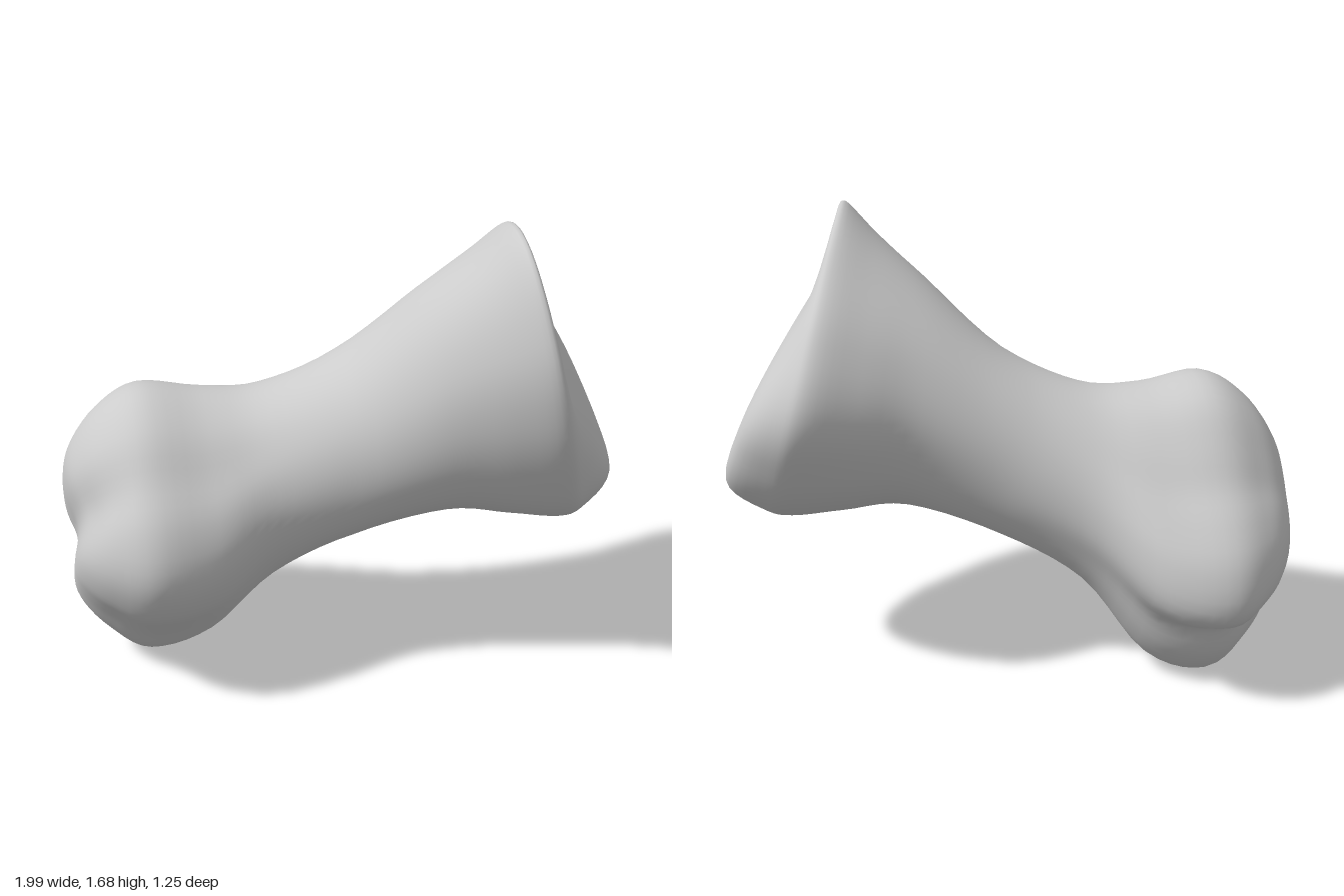
import * as THREE from 'three';

const STEPS = 5;
const SIDES = 72;

// End outlines: relative radius at even angles, from +z turning up
const lobedOutline = [1.05, 1.04, 1, 1.08, 1.12, 1.04, 0.87, 0.79, 0.86,
  0.98, 1.03, 0.84, 0.99, 1.1, 0.97, 0.84, 0.84, 0.95];
const faceOutline = [1, 1.14, 1.26, 1.12, 0.96, 0.96, 1.02, 0.94, 0.95, 1.03, 1.02, 0.95];

// Stations along the bone: x, tilt, centre height, size,
// blend (-1 lobed end, 0 shaft, 1 broad face)
const stations = [
  [-1.005, 0, 0.57, 0, -0.7],
  [-1.003, 0, 0.57, 0.15, -0.7],
  [-0.97, 0, 0.57, 0.28, -0.8],
  [-0.87, 0, 0.565, 0.41, -1],
  [-0.72, 0, 0.55, 0.5, -1],
  [-0.5, 0, 0.57, 0.455, -0.8],
  [-0.28, 0, 0.71, 0.34, -0.2],
  [0, 0.03, 0.855, 0.32, 0],
  [0.3, 0.1, 1.02, 0.38, 0.4],
  [0.5, 0.15, 1.07, 0.45, 0.75],
  [0.65, 0.2, 1.1, 0.5, 1],
  [0.72, 0.28, 1.1, 0.47, 1],
  [0.79, 0.5, 1.1, 0.36, 1],
  [0.82, 0.52, 1.1, 0.18, 1],
  [0.825, 0.52, 1.1, 0, 1],
];

// Catmull-Rom blend of four numbers
const blend = (a, b, c, d, t) =>
  b + 0.5 * t * (c - a + t * (2 * a - 5 * b + 4 * c - d + t * (3 * (b - c) + d - a)));

// Smooth closed outline, u in turns
function outlineRadius(outline, u) {
  const n = outline.length;
  const m = Math.floor(u * n);
  const at = (k) => outline[(m + k + n) % n];
  return blend(at(-1), at(0), at(1), at(2), u * n - m);
}

function stationAt(s) {
  const last = stations.length - 1;
  const k = Math.min(Math.floor(s), last - 1);
  const at = (n) => stations[THREE.MathUtils.clamp(n, 0, last)];
  return at(k).map((_, n) => blend(at(k - 1)[n], at(k)[n], at(k + 1)[n], at(k + 2)[n], s - k));
}

function surfacePoint(s, u) {
  const [x0, tilt, y0, size, mix] = stationAt(s);
  const angle = u * Math.PI * 2;
  const shaft = 1 - 0.07 * Math.cos(2 * angle);
  const end = outlineRadius(mix < 0 ? lobedOutline : faceOutline, u);
  const r = size * THREE.MathUtils.lerp(shaft, end, Math.min(Math.abs(mix), 1));
  const dz = r * Math.cos(angle);
  const dy = r * Math.sin(angle);
  const y = y0 + dy;
  const z = 0.42 * y0 - 0.345 + dz; // the axis leans forward as it rises
  const x = x0 - tilt * (0.5 * dz + dy);
  // shallow slanting groove between the two lobes of the lower end
  const off = (y - 0.6 - 0.8 * z) / 1.28;
  const near = THREE.MathUtils.clamp((-0.75 - x) / 0.2, 0, 1);
  return [x + 0.045 * near * Math.exp(-((off / 0.11) ** 2)), y, z];
}

function boneGeometry() {
  const rings = (stations.length - 1) * STEPS;
  const positions = [];
  const index = [];
  for (let i = 0; i <= rings; i++) {
    for (let j = 0; j < SIDES; j++) positions.push(...surfacePoint(i / STEPS, j / SIDES));
  }
  for (let i = 0; i < rings; i++) {
    for (let j = 0; j < SIDES; j++) {
      const a = i * SIDES + j;
      const b = i * SIDES + ((j + 1) % SIDES);
      index.push(a, a + SIDES, b + SIDES, a, b + SIDES, b);
    }
  }
  const geometry = new THREE.BufferGeometry();
  geometry.setAttribute('position', new THREE.Float32BufferAttribute(positions, 3));
  geometry.setIndex(index);
  geometry.computeVertexNormals();
  return geometry;
}

export function createModel() {
  const model = new THREE.Group();
  model.name = 'toeBone';
  const bone = new THREE.Mesh(boneGeometry(), new THREE.MeshStandardMaterial({ color: 0xcccccc }));
  bone.name = 'bone';
  model.add(bone);
  return model;
}
